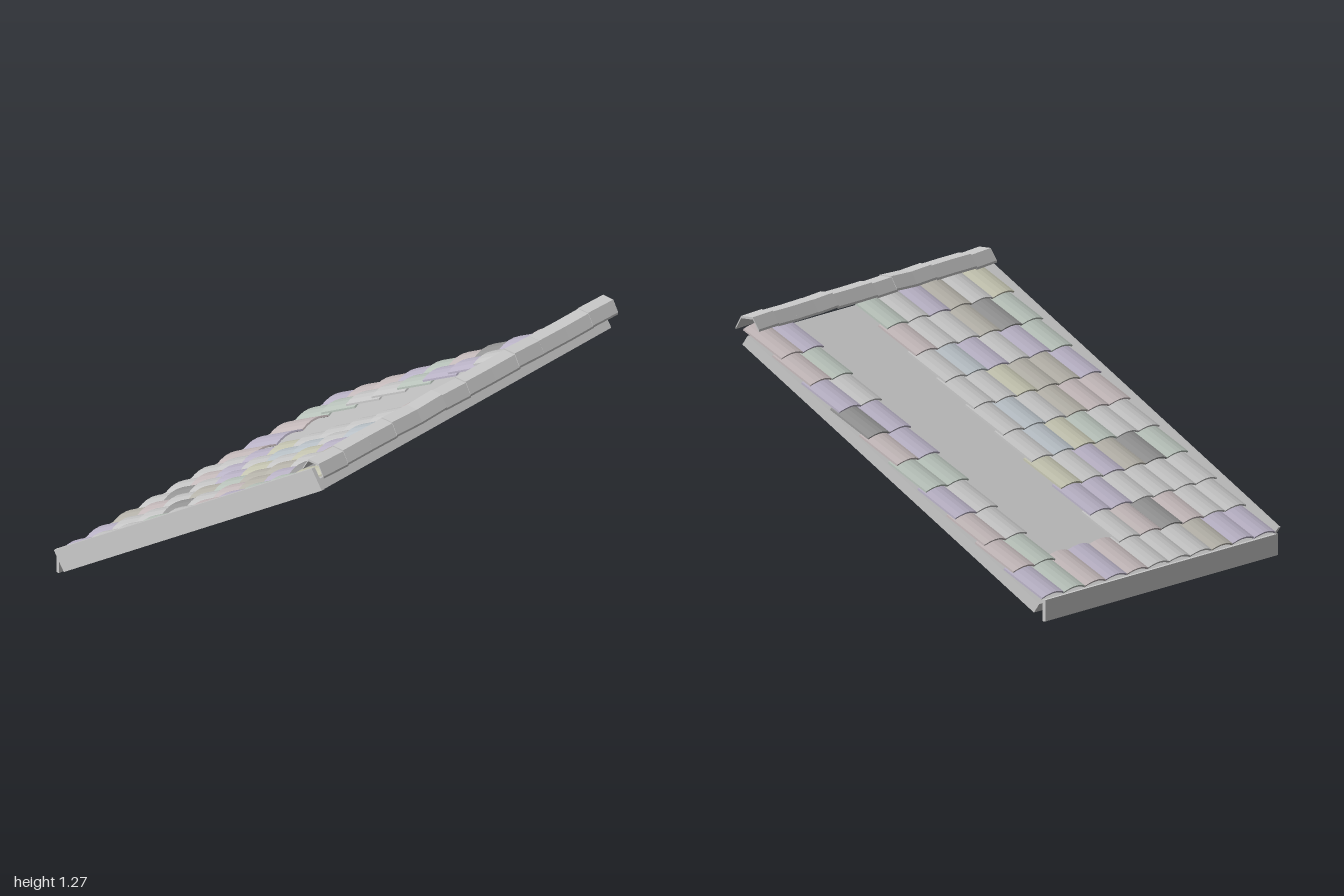
import * as THREE from 'three';

const SLOPE = 0.597;            // pitch of the roof
const LENGTH = 1.951;           // run of the deck along the slope
const COLS = 11, TILE_W = 1.96 / COLS, TILE_L = 0.24, ROW_STEP = 0.1925;

// tile colours, one letter per tile, rows from the eave up; a dot is an opening
const COLORS = {
  a: 0xcccccc, p: 0xbfb8cc, g: 0xbec8c0, y: 0xcacab6,
  r: 0xcabfc0, d: 0x9a9a9a, k: 0xbcb9b0, b: 0xbec6cc,
};
const ROWS = [
  'ppkaaarprgp', 'aardra...gr', 'aaaapp...ar', 'gdkpay...ap', 'aagyba...gg',
  'rrkaba...pr', 'pkkyaa...pd', 'gpapba...ap', 'gdkaar...gr', 'yakpag...pr',
];

const materials = {};
const material = (color) => (materials[color] ??= new THREE.MeshStandardMaterial({ color, flatShading: true }));

function seeded(seed) {
  return () => (seed = (seed * 16807) % 2147483647) / 2147483647 - 0.5;
}

function add(parent, name, geometry, x, y, z, color = 0xcccccc) {
  const mesh = new THREE.Mesh(geometry, material(color));
  mesh.name = name;
  mesh.position.set(x, y, z);
  parent.add(mesh);
  return mesh;
}

// constant-thickness strip following a profile, extruded along z
function strip(points, thickness, depth) {
  const lower = points.map(([x, y]) => [x, y - thickness]).reverse();
  const shape = new THREE.Shape([...points, ...lower].map(([x, y]) => new THREE.Vector2(x, y)));
  return new THREE.ExtrudeGeometry(shape, { depth, bevelEnabled: false });
}

export function createModel() {
  const model = new THREE.Group();
  model.name = 'tiledRoofSection';
  const rand = seeded(4711);

  // sloped frame: y is out of the roof, z runs up the slope, origin at the ridge end
  const roof = new THREE.Group();
  roof.name = 'slopedRoof';
  roof.position.set(0, 1.132, 0.834);
  roof.rotation.x = -SLOPE;
  model.add(roof);

  add(roof, 'deck', new THREE.BoxGeometry(1.96, 0.052, LENGTH - 0.012), 0, 0.026, -LENGTH / 2 - 0.006);
  add(roof, 'bargeBoard', new THREE.BoxGeometry(0.02, 0.112, LENGTH), -0.99, 0.056, -LENGTH / 2);

  // shallow arched tiles, each lower end resting on the row below
  const profile = [[-0.5, -0.017], [-0.3, -0.006], [-0.1, 0], [0.1, 0], [0.3, -0.006], [0.5, -0.017]]
    .map(([x, y]) => [x * TILE_W, y]);
  const tileGeometry = strip(profile, 0.009, TILE_L);
  const tiles = new THREE.Group();
  tiles.name = 'tiles';
  roof.add(tiles);
  ROWS.forEach((row, r) => {
    for (let c = 0; c < COLS; c++) {
      if (row[c] === '.') continue;
      const tile = add(tiles, 'tile', tileGeometry,
        -0.98 + (c + 0.5) * TILE_W, 0.105, -1.947 + r * ROW_STEP + rand() * 0.004, COLORS[row[c]]);
      tile.rotation.set(0.085 + rand() * 0.01, rand() * 0.012, rand() * 0.03);
    }
  });

  // folded ridge caps, each slightly tipped
  const capProfile = [[-0.064, -0.055], [-0.032, 0], [0.032, 0], [0.064, -0.055]];
  const capLength = 2 / 12;
  const capGeometry = strip(capProfile, 0.011, capLength + 0.004);
  capGeometry.translate(0, 0, -(capLength + 0.004) / 2);
  capGeometry.rotateY(Math.PI / 2);
  const ridge = new THREE.Group();
  ridge.name = 'ridge';
  model.add(ridge);
  for (let i = 0; i < 12; i++) {
    const cap = add(ridge, 'ridgeCap', capGeometry, -1 + (i + 0.5) * capLength, 1.266 + rand() * 0.006, 0.784);
    cap.rotation.z = (i % 3 === 1 ? 0.02 : -0.025) + rand() * 0.05;
  }

  // upright board below the eave
  add(model, 'eaveBoard', new THREE.BoxGeometry(1.96, 0.1, 0.015), 0, 0.05, -0.835);

  return model;
}
